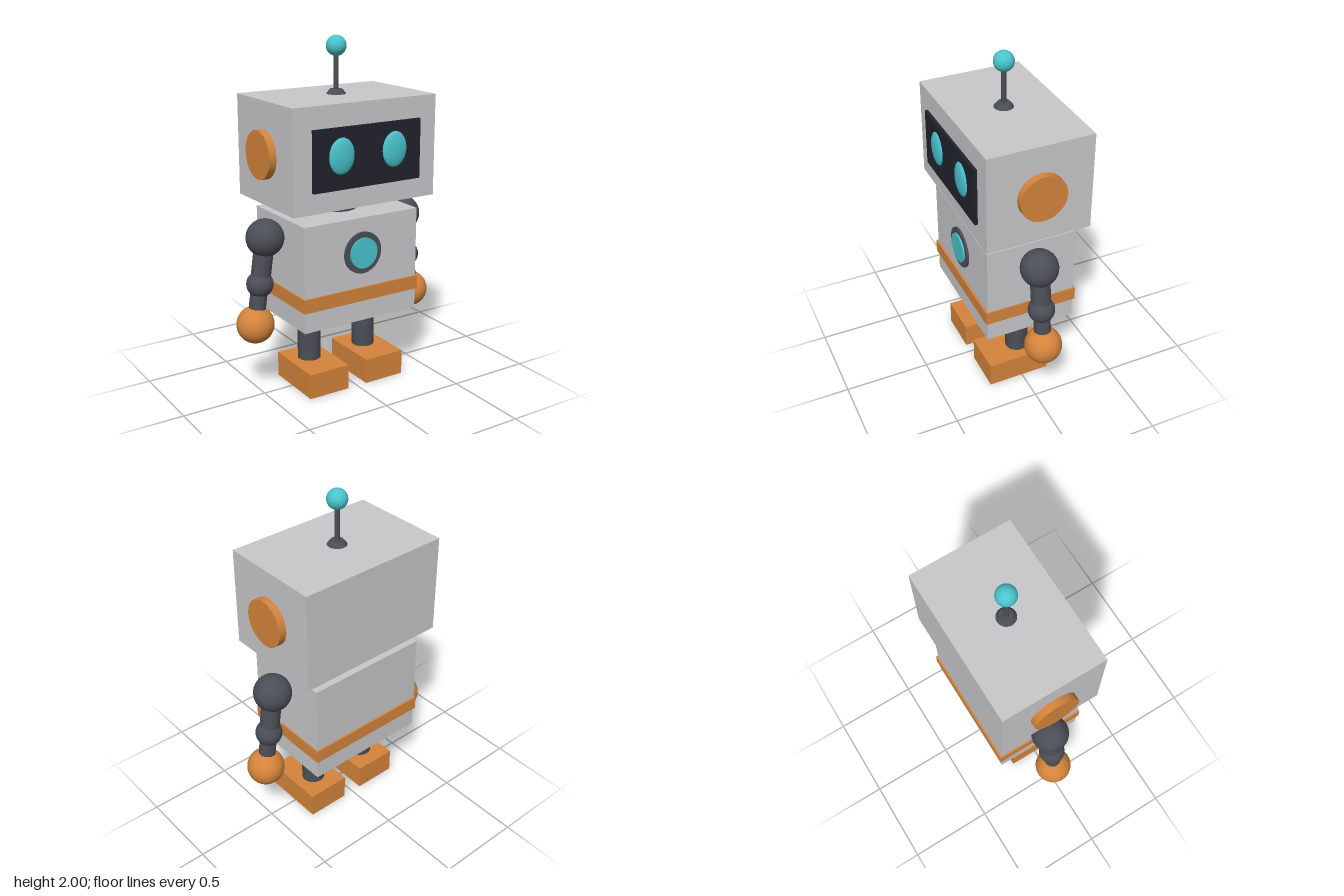
import * as THREE from 'three';

const paint = (name, color) => {
  const m = new THREE.MeshStandardMaterial({ color });
  m.name = name;
  return m;
};

export function createModel() {
  const grey = paint('light grey shell', 0xc8c8cb);
  const orange = paint('orange trim', 0xd4843b);
  const dark = paint('dark grey joints', 0x4b4e56);
  const teal = paint('teal glow', 0x4ac4ce);
  const black = paint('black screen', 0x22222d);

  const robot = new THREE.Group();
  robot.name = 'robot';
  const Z = -0.02; // depth of the body's centre line

  const add = (name, geometry, material, x, y, z = Z) => {
    const mesh = new THREE.Mesh(geometry, material);
    mesh.name = name;
    mesh.position.set(x, y, z);
    robot.add(mesh);
    return mesh;
  };
  const box = (w, h, d) => new THREE.BoxGeometry(w, h, d);
  const ball = (r) => new THREE.SphereGeometry(r, 40, 24);
  const rod = (r, h, rTop = r) => new THREE.CylinderGeometry(rTop, r, h, 40);

  // Limb section between two points in the x-y plane
  const limb = (name, r, [x1, y1], [x2, y2]) => {
    const mesh = add(name, rod(r, Math.hypot(x2 - x1, y2 - y1)), dark, (x1 + x2) / 2, (y1 + y2) / 2);
    mesh.rotation.z = Math.atan2(x1 - x2, y2 - y1);
  };

  // Torso, belt and neck
  add('torso', box(0.744, 0.605, 0.535), grey, 0, 0.7275);
  add('belt', box(0.76, 0.08, 0.557), orange, 0, 0.585);
  add('neck', rod(0.114, 0.11), dark, 0, 1.0675);

  // Chest light: dark rim with a raised teal lens
  add('chestRim', rod(0.12, 0.02), dark, 0, 0.83, 0.25).rotation.x = Math.PI / 2;
  add('chestLight', rod(0.088, 0.02), teal, 0, 0.83, 0.26).rotation.x = Math.PI / 2;

  // Head and face screen
  add('head', box(0.914, 0.574, 0.61), grey, 0, 1.393);
  add('screen', box(0.686, 0.336, 0.03), black, 0, 1.39, 0.288);

  // Antenna
  add('antennaBase', rod(0.055, 0.026, 0.036), dark, 0, 1.693);
  add('antennaPole', rod(0.014, 0.24), dark, 0, 1.8);
  add('antennaBall', ball(0.057), teal, 0, 1.943);

  for (const [side, s] of [['left', 1], ['right', -1]]) {
    // Flattened eye and round ear
    add(side + 'Eye', ball(1), teal, s * 0.17, 1.405, 0.3).scale.set(0.08, 0.1, 0.024);
    add(side + 'Ear', rod(0.135, 0.06), orange, s * 0.47, 1.39).rotation.z = Math.PI / 2;

    // Arm
    const shoulder = [s * 0.465, 0.923], elbow = [s * 0.503, 0.66], hand = [s * 0.537, 0.427];
    add(side + 'Shoulder', ball(0.107), dark, ...shoulder);
    limb(side + 'UpperArm', 0.056, shoulder, elbow);
    add(side + 'Elbow', ball(0.076), dark, ...elbow);
    limb(side + 'Forearm', 0.048, elbow, hand);
    add(side + 'Hand', ball(0.107), orange, ...hand);

    // Leg and foot
    add(side + 'Leg', rod(0.067, 0.3), dark, s * 0.189, 0.285);
    add(side + 'Foot', box(0.255, 0.147, 0.375), orange, s * 0.189, 0.0735, 0.02);
  }

  return robot;
}
